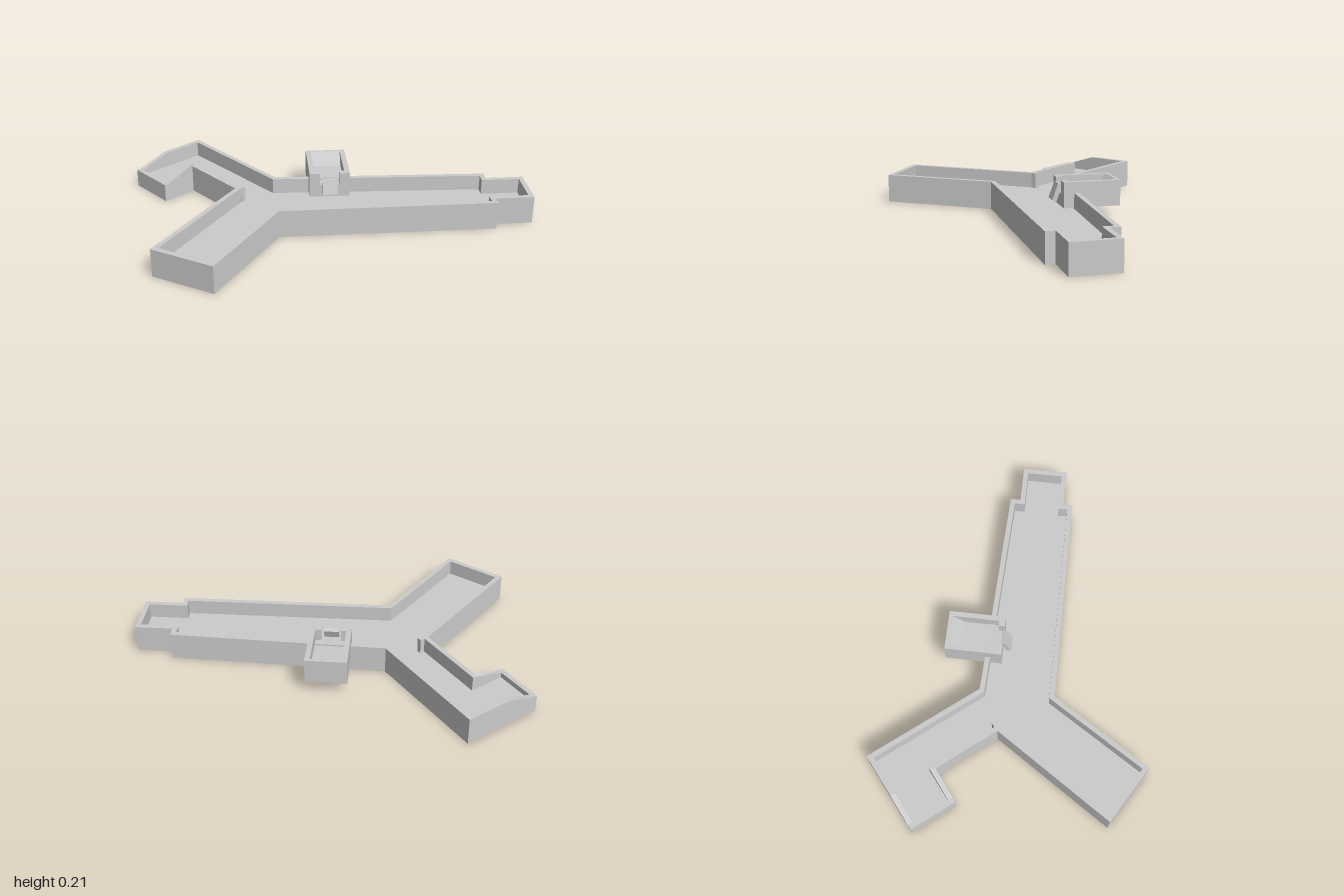
import * as THREE from 'three';

const FLOOR = 0.07, TOP = 0.155, WALL = 0.027;

// Plan outline as [x, z]
const outline = [
  [-0.917, 0.017], [-0.217, 0.017], [0.545, -0.873], [0.588, -0.837], [0.717, -1.0], [0.913, -0.843],
  [0.78, -0.677], [0.822, -0.648], [0.1, 0.268], [0.303, 0.865], [-0.033, 0.99], [-0.262, 0.268],
  [-0.645, 0.268], [-0.645, 0.437], [-0.645, 0.464], [-0.917, 0.464], [-0.917, 0.437], [-0.917, 0.268],
];

// Rim height: falls away towards the tip of the hooked arm
function rimHeight([x, z]) {
  if (x > -0.6) return TOP;
  return TOP - 0.055 * THREE.MathUtils.clamp((z - 0.268) / 0.169, 0, 1);
}

// Mitred inward offset of a closed outline
function inset(points, d) {
  const n = points.length;
  const normal = (a, b) => new THREE.Vector2(a[1] - b[1], b[0] - a[0]).normalize();
  return points.map((p, i) => {
    const n1 = normal(points[(i + n - 1) % n], p);
    const n2 = normal(p, points[(i + 1) % n]);
    const k = d / (1 + n1.dot(n2));
    return [p[0] + (n1.x + n2.x) * k, p[1] + (n1.y + n2.y) * k];
  });
}

// Walls around the outline: outer face, top and inner face per edge
function wallGeometry(outer, inner) {
  const pos = [];
  const quad = (a, b, c, d) => pos.push(...a, ...b, ...c, ...a, ...c, ...d);
  const at = (p, y) => [p[0], y, p[1]];
  outer.forEach((a, i) => {
    const j = (i + 1) % outer.length;
    const b = outer[j], c = inner[i], d = inner[j];
    const aT = at(a, rimHeight(a)), bT = at(b, rimHeight(b));
    const cT = at(c, rimHeight(c)), dT = at(d, rimHeight(d));
    quad(at(b, FLOOR), at(a, FLOOR), aT, bT);
    quad(cT, dT, bT, aT);
    quad(at(c, FLOOR), at(d, FLOOR), dT, cT);
  });
  const g = new THREE.BufferGeometry();
  g.setAttribute('position', new THREE.Float32BufferAttribute(pos, 3));
  g.computeVertexNormals();
  return g;
}

export function createModel() {
  const model = new THREE.Group();
  const material = new THREE.MeshStandardMaterial({ color: 0xcccccc, flatShading: true });
  const add = (name, geometry, parent = model) => {
    const mesh = new THREE.Mesh(geometry, material);
    mesh.name = name;
    parent.add(mesh);
    return mesh;
  };
  const box = (name, parent, w, h, d, x, y, z) => {
    const mesh = add(name, new THREE.BoxGeometry(w, h, d), parent);
    mesh.position.set(x, y, z);
    return mesh;
  };

  // Y-shaped tray
  const shape = new THREE.Shape(outline.map(([x, z]) => new THREE.Vector2(x, -z)));
  const floor = new THREE.ExtrudeGeometry(shape, { depth: FLOOR, bevelEnabled: false });
  add('trayFloor', floor.rotateX(-Math.PI / 2));
  add('trayWalls', wallGeometry(outline, inset(outline, WALL)));
  box('cornerPost', model, 0.026, TOP - FLOOR, 0.03, -0.252, (TOP + FLOOR) / 2, 0.23);

  // Hopper hung over the side wall; its local +x points into the tray
  const hopper = new THREE.Group();
  hopper.name = 'hopper';
  hopper.position.set(-0.077, 0, -0.252);
  hopper.rotation.y = -0.68;
  model.add(hopper);

  const bottom = 0.075, top = 0.213, length = 0.31, width = 0.222, side = 0.028;
  const middle = (top + bottom) / 2, height = top - bottom;

  // Floor and sloped back as one profile
  const profile = new THREE.Shape([
    [-0.155, bottom], [0.155, bottom], [0.155, 0.145], [-0.075, 0.15], [-0.138, top], [-0.155, top],
  ].map(([x, y]) => new THREE.Vector2(x, y)));
  const inside = width - 2 * side;
  add('hopperBed', new THREE.ExtrudeGeometry(profile, { depth: inside, bevelEnabled: false })
    .translate(0, 0, -inside / 2), hopper);

  // Side walls, and posts beside the outlet
  for (const s of [-1, 1]) {
    box('hopperSide', hopper, length, height, side, 0, middle, s * (width - side) / 2);
    box('outletPost', hopper, 0.034, height, 0.03, 0.138, middle, s * (width / 2 - side - 0.014));
  }

  // Tilted flap over the outlet
  const flap = box('outletFlap', hopper, 0.025, 0.095, 0.08, 0.172, 0.147, 0);
  flap.rotation.z = 0.35;

  return model;
}
